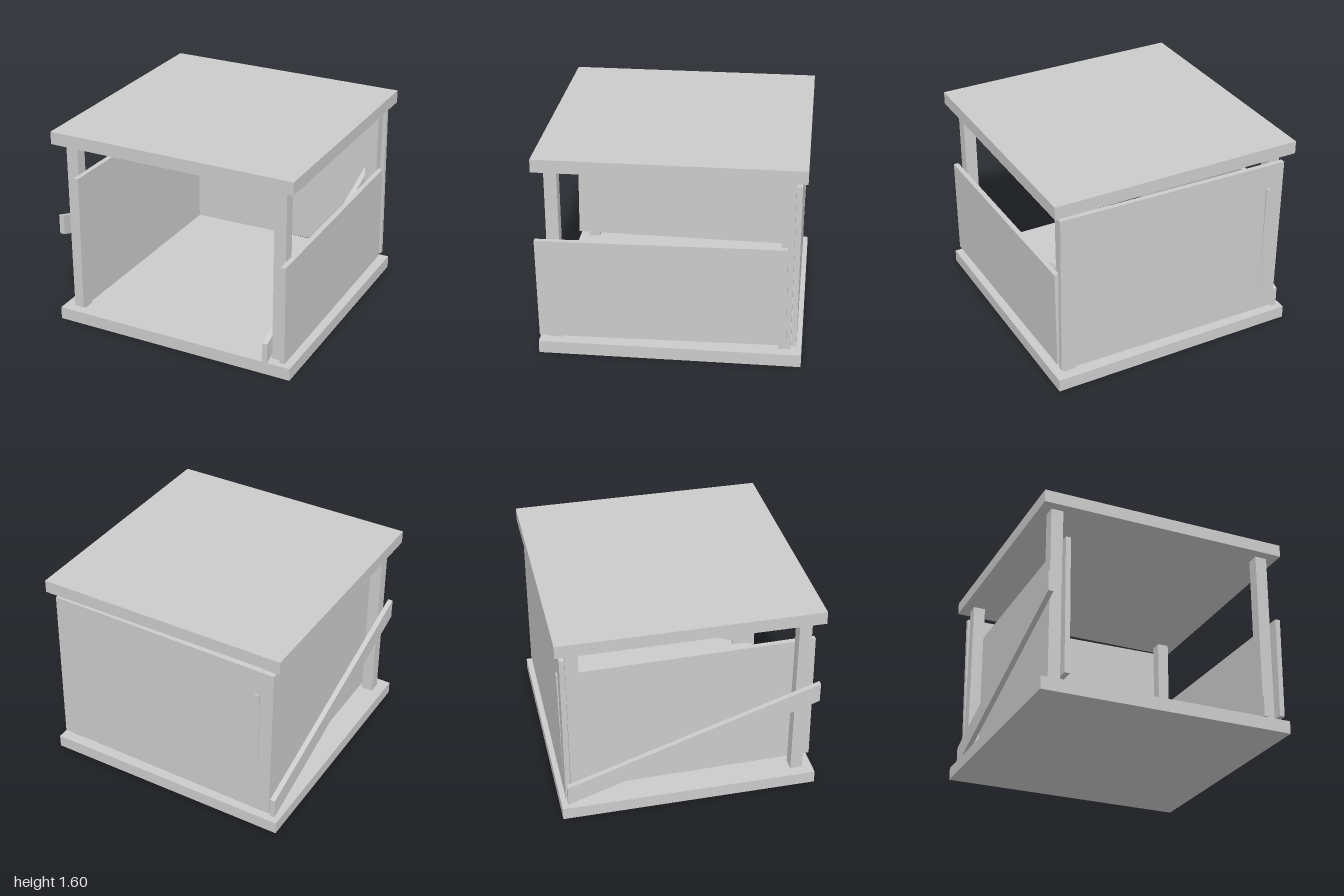
import * as THREE from 'three';

export function createModel() {
  const group = new THREE.Group();
  const material = new THREE.MeshStandardMaterial({ color: 0xcccccc, flatShading: true });

  const add = (name, geometry, x, y, z) => {
    const mesh = new THREE.Mesh(geometry, material);
    mesh.name = name;
    mesh.position.set(x, y, z);
    group.add(mesh);
    return mesh;
  };
  const box = (name, w, h, d, x, y, z) => add(name, new THREE.BoxGeometry(w, h, d), x, y, z);

  // Floor and roof boards
  box('floorBoard', 1.99, 0.1, 1.99, 0, 0.05, -0.004);
  box('roofBoard', 1.99, 0.1, 1.99, 0, 1.55, -0.004);

  // Corner posts
  for (const sx of [-1, 1]) {
    for (const sz of [-1, 1]) {
      const name = (sz > 0 ? 'front' : 'back') + (sx > 0 ? 'Left' : 'Right') + 'Post';
      box(name, 0.096, 1.4, 0.096, sx * 0.865, 0.8, sz * 0.867 - 0.002);
    }
  }

  // Wall panels, each hung slightly crooked
  const tilt = 0.0133;
  box('backPanel', 1.868, 1.295, 0.04, 0.0125, 0.79, -0.941).rotation.z = tilt;
  box('leftPanel', 0.04, 0.798, 1.873, 0.932, 0.541, 0.059).rotation.x = tilt;
  box('rightPanel', 0.04, 1.096, 1.952, -0.8, 0.69, 0.01).rotation.x = -tilt;

  // Diagonal braces with upright cut ends; drawn along z, extruded across x
  const brace = (name, x, zLow, zHigh) => {
    const shape = new THREE.Shape([
      new THREE.Vector2(-zLow, 0.103),
      new THREE.Vector2(-zHigh, 0.768),
      new THREE.Vector2(-zHigh, 0.926),
      new THREE.Vector2(-zLow, 0.263),
    ]);
    const geometry = new THREE.ExtrudeGeometry(shape, { depth: 0.04, bevelEnabled: false });
    geometry.translate(0, 0, -0.02);
    geometry.rotateY(Math.PI / 2);
    add(name, geometry, x, 0, 0);
  };
  brace('rightBrace', -0.936, -0.95, 0.998);
  brace('leftBrace', 0.795, 0.998, -0.95);

  return group;
}
